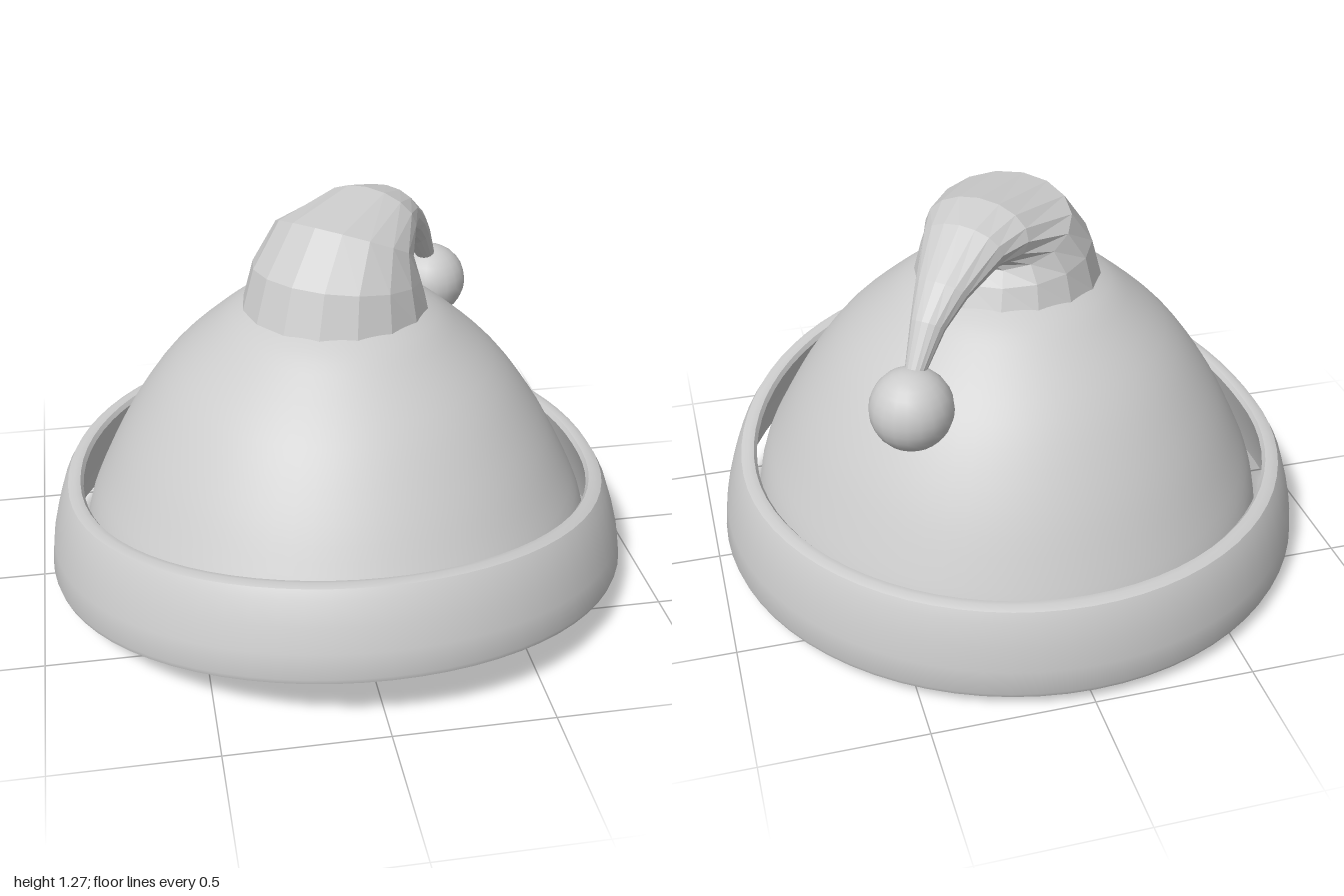
import * as THREE from 'three';
import { toCreasedNormals } from 'three/addons/utils/BufferGeometryUtils.js';

const v2 = (list) => list.map(([r, y]) => new THREE.Vector2(r, y));

// Move every vertex of a geometry by a rule
function warp(geometry, rule) {
  const p = geometry.attributes.position;
  const v = new THREE.Vector3();
  for (let i = 0; i < p.count; i++) {
    v.fromBufferAttribute(p, i);
    rule(v);
    p.setXYZ(i, v.x, v.y, v.z);
  }
  return geometry;
}

// Hollow dome, its rim dipping towards the back
function domeGeometry() {
  const curve = new THREE.SplineCurve(v2([
    [0.85, 0.11], [0.825, 0.25], [0.77, 0.38], [0.68, 0.55], [0.555, 0.725],
    [0.4, 0.87], [0.3, 0.94], [0.15, 1.0], [0, 1.02],
  ]));
  const outer = curve.getPoints(28);
  outer[28].x = 0;
  const inner = outer.map((p) => new THREE.Vector2(p.x * 0.98, 0.11 + (p.y - 0.11) * 0.98)).reverse();
  const g = new THREE.LatheGeometry([...outer, ...inner, outer[0].clone()], 72);
  warp(g, (v) => {
    const fade = Math.max(0, 1 - (v.y - 0.11) / 0.9);
    v.z *= 1.035;
    v.y += 0.125 * v.z * fade * fade;
  });
  return toCreasedNormals(g, 0.6);
}

// Turned-up brim, raised at the front
function brimGeometry() {
  const g = new THREE.LatheGeometry(v2([
    [0.965, 0.045], [0.995, 0.045], [1.0, 0.06], [0.99, 0.14], [0.97, 0.22], [0.945, 0.295],
    [0.928, 0.325], [0.905, 0.335], [0.885, 0.332], [0.875, 0.318],
    [0.9, 0.25], [0.935, 0.15], [0.96, 0.065], [0.965, 0.045],
  ]), 72);
  warp(g, (v) => {
    const t = (v.y - 0.045) / 0.29;
    v.y += 0.16 * Math.pow(Math.max(0, v.z), 1.4);
    v.x *= 0.965;
    v.z -= 0.025 * t;
  });
  return toCreasedNormals(g, 0.6);
}

// Drooping cone: each ring spans an outer and an inner point of the bend
function peakGeometry() {
  const rings = [ // outer s, outer y, inner s, inner y, half width
    [-0.3, 0.945, 0.3, 0.935, 0.3],
    [-0.25, 1.085, 0.265, 1.01, 0.275],
    [-0.116, 1.235, 0.225, 1.05, 0.235],
    [0.19, 1.27, 0.23, 1.07, 0.175],
    [0.32, 1.235, 0.28, 1.075, 0.135],
    [0.475, 1.12, 0.4, 1.03, 0.085],
    [0.56, 1.03, 0.49, 0.97, 0.055],
    [0.64, 0.89, 0.585, 0.87, 0.03],
  ];
  const sides = 16;
  const dx = 0.66, dz = -0.75; // direction of the droop
  const g = new THREE.CylinderGeometry(1, 1, 1, sides, rings.length - 1, true);
  warp(g, (v) => {
    const [so, yo, si, yi, w] = rings[Math.round((v.y + 0.5) * (rings.length - 1))];
    const k = (1 + v.z) / 2;
    const s = so + (si - so) * k;
    const y = yo + (yi - yo) * k;
    const across = v.x * w;
    v.set(s * dx - across * dz, y, s * dz + across * dx);
  });
  const flat = g.toNonIndexed();
  flat.computeVertexNormals();
  return flat;
}

export function createModel() {
  const model = new THREE.Group();
  model.name = 'hat';
  const fabric = new THREE.MeshStandardMaterial({ color: 0xcccccc, side: THREE.DoubleSide });
  fabric.name = 'light grey';

  const add = (name, geometry) => {
    const mesh = new THREE.Mesh(geometry, fabric);
    mesh.name = name;
    model.add(mesh);
    return mesh;
  };

  add('dome', domeGeometry());
  add('brim', brimGeometry());
  add('droopingPeak', peakGeometry());
  add('pompom', new THREE.SphereGeometry(0.127, 20, 14)).position.set(0.42, 0.78, -0.48);
  return model;
}
